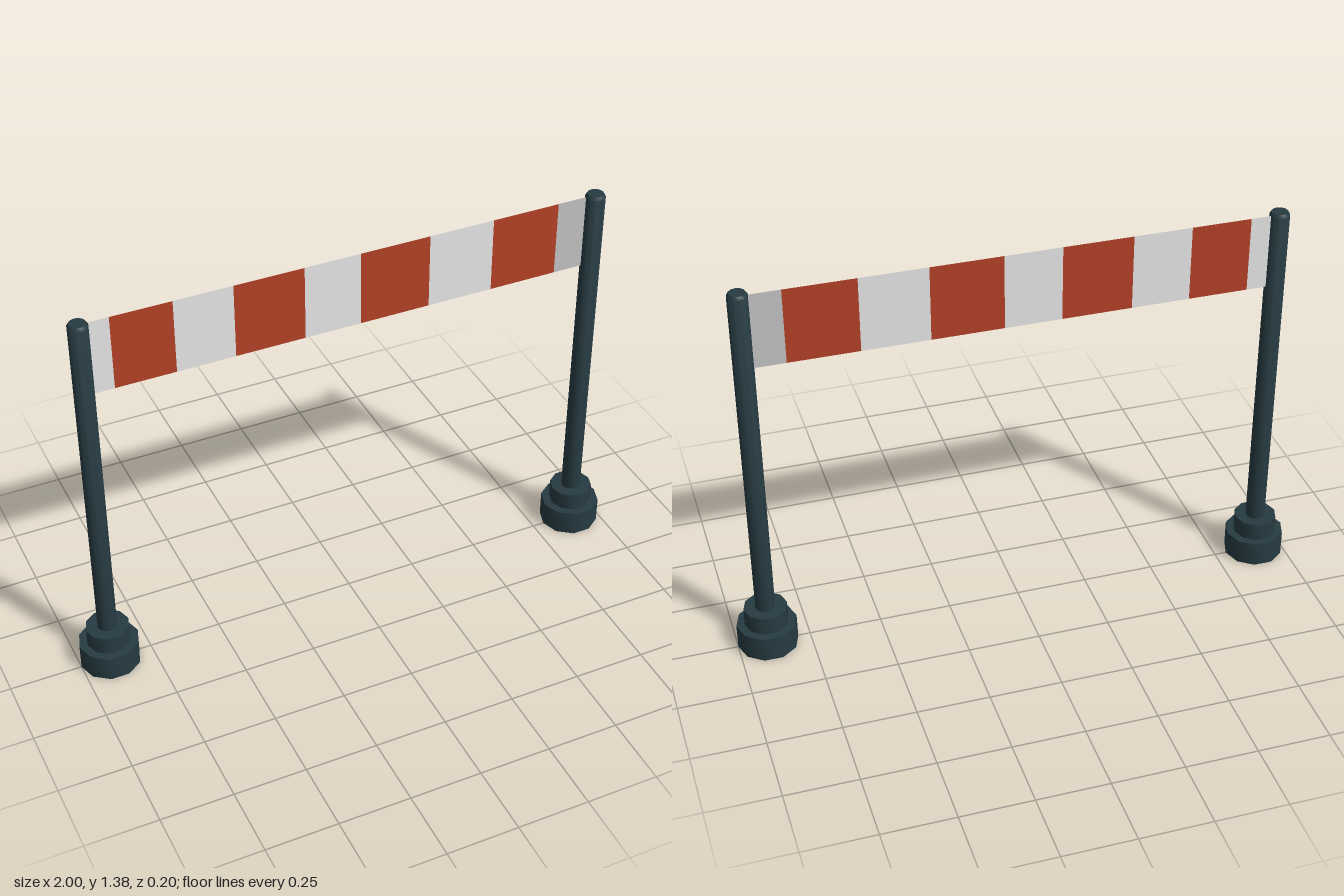
import * as THREE from 'three';
import { toCreasedNormals } from 'three/addons/utils/BufferGeometryUtils.js';

const material = (name, color, side = THREE.FrontSide) => {
  const m = new THREE.MeshStandardMaterial({ color, side });
  m.name = name;
  return m;
};

// Turn a profile of [radius, height] pairs, keeping its corners sharp.
function turned(profile, sides) {
  const points = profile.map(([r, y]) => new THREE.Vector2(r, y));
  const g = new THREE.LatheGeometry(points, sides);
  g.rotateY(Math.PI / 2);
  return toCreasedNormals(g, 0.7);
}

export function createModel() {
  const group = new THREE.Group();
  const dark = material('dark slate', 0x263b42, THREE.DoubleSide);
  const white = material('white', 0xe6e6e6, THREE.DoubleSide);
  const grey = material('pale grey', 0xc2c2c2, THREE.DoubleSide);
  const red = material('brick red', 0xb44127, THREE.DoubleSide);

  const add = (parent, name, geometry, mat) => {
    const mesh = new THREE.Mesh(geometry, mat);
    mesh.name = name;
    parent.add(mesh);
    return mesh;
  };

  // Hollow stepped foot, open underneath, and a post with a chamfered top
  const footGeometry = turned(
    [[0.104, 0], [0.104, 0.09], [0.075, 0.09], [0.075, 0.155], [0, 0.155]], 10);
  const postGeometry = turned(
    [[0.034, 0.15], [0.034, 1.37], [0.028, 1.38], [0, 1.38]], 12);

  for (const [side, x] of [['left', 0.896], ['right', -0.896]]) {
    const stand = new THREE.Group();
    stand.name = side + 'Stand';
    stand.position.x = x;
    add(stand, side + 'Foot', footGeometry, dark);
    add(stand, side + 'Post', postGeometry, dark);
    group.add(stand);
  }

  // Striped banner stretched between the posts
  const edges = [-0.865, -0.795, -0.59, -0.39, -0.15, 0.045, 0.29, 0.52, 0.76, 0.865];
  const bottom = 1.105, top = 1.37;
  const banner = new THREE.Group();
  banner.name = 'banner';
  banner.position.set(0, (bottom + top) / 2, -0.005);
  for (let i = 0; i < edges.length - 1; i++) {
    const width = edges[i + 1] - edges[i];
    const mat = i === edges.length - 2 ? grey : i % 2 ? red : white;
    const stripe = add(banner, 'bannerStripe' + (i + 1), new THREE.PlaneGeometry(width, top - bottom), mat);
    stripe.position.x = (edges[i] + edges[i + 1]) / 2;
  }
  group.add(banner);

  return group;
}
